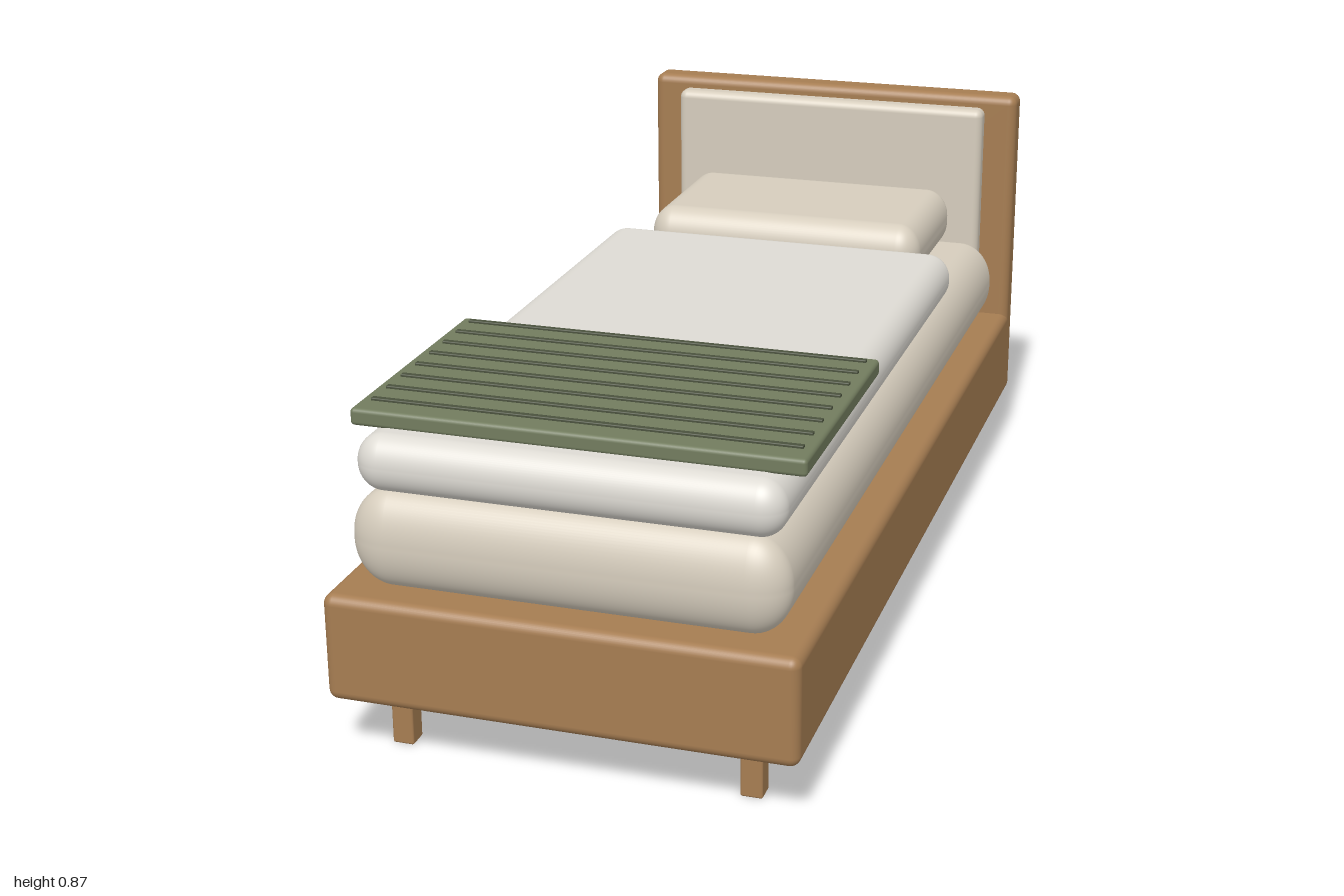
import * as THREE from 'three';
import { RoundedBoxGeometry } from 'three/addons/geometries/RoundedBoxGeometry.js';

const mat = (color) => new THREE.MeshStandardMaterial({ color });

export function createModel() {
  const bed = new THREE.Group();
  bed.name = 'bed';
  const wood = mat(0xa67d52), linen = mat(0xd6cdbd), sheet = mat(0xdedbd4);
  const green = mat(0x727c5e), darkGreen = mat(0x4a513d);

  // Rounded box given by its extents, with a separate edge radius per axis
  function block(name, material, [x0, x1], [y0, y1], [z0, z1], [rx, ry, rz], segments = 4, crown = 0) {
    const w = x1 - x0, h = y1 - y0, d = z1 - z0;
    const g = new RoundedBoxGeometry(w / rx, h / ry, d / rz, segments, 1);
    g.scale(rx, ry, rz);
    // Soft crown: the middle of the top swells above its rim
    if (crown) {
      const p = g.attributes.position;
      for (let i = 0; i < p.count; i++) {
        const u = (2 * p.getX(i)) / w, v = (2 * p.getZ(i)) / d;
        if (p.getY(i) > 0) p.setY(i, p.getY(i) - crown * Math.min(1, Math.max(u * u, v * v)));
      }
    }
    const mesh = new THREE.Mesh(g, material);
    mesh.name = name;
    mesh.position.set((x0 + x1) / 2, (y0 + y1) / 2, (z0 + z1) / 2);
    bed.add(mesh);
    return mesh;
  }
  const even = (r) => [r, r, r];
  const wide = (x) => [-x, x];

  // Wooden frame and headboard
  block('baseFrame', wood, wide(0.447), [0.118, 0.329], [-0.99, 1], even(0.02));
  block('headboard', wood, wide(0.447), [0.118, 0.866], [-1, -0.926], even(0.02));
  block('headboardPanel', linen, wide(0.374), [0.35, 0.838], [-0.94, -0.887], even(0.018));

  // Four square legs
  for (const x of [-0.338, 0.338])
    for (const z of [-0.862, 0.893])
      block('leg', wood, [x - 0.021, x + 0.021], [0, 0.135], [z - 0.021, z + 0.021], even(0.004), 2);

  // Bedding
  block('mattress', linen, wide(0.412), [0.328, 0.517], [-0.922, 0.963], [0.075, 0.09, 0.055], 8);
  block('duvet', sheet, wide(0.4), [0.51, 0.62], [-0.47, 0.947], [0.05, 0.053, 0.045], 8);
  block('pillow', linen, wide(0.315), [0.524, 0.665], [-0.857, -0.468], [0.05, 0.06, 0.05], 8, 0.008);

  // Folded throw with raised ribs across the foot end
  block('throwBlanket', green, wide(0.425), [0.617, 0.65], [0.35, 0.885], even(0.008), 3);
  for (let i = 0; i < 8; i++) {
    const z = 0.375 + i * 0.065;
    block('throwRib', darkGreen, wide(0.405), [0.645, 0.655], [z - 0.006, z + 0.006], even(0.002), 2);
  }
  return bed;
}
